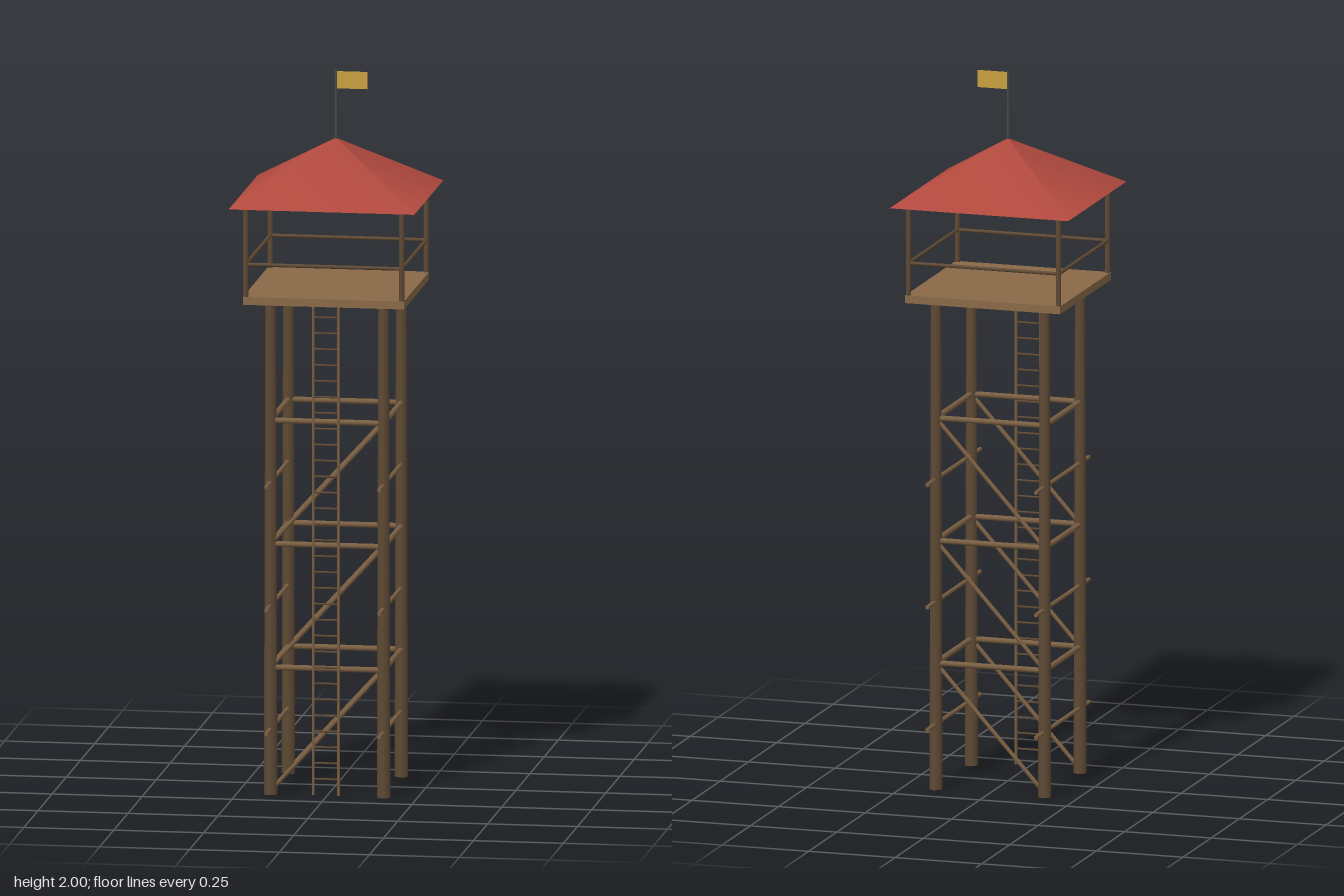
import * as THREE from 'three';

const mat = (name, color, extra = {}) => {
  const m = new THREE.MeshStandardMaterial({ color, ...extra });
  m.name = name;
  return m;
};

export function createModel() {
  const darkWood = mat('dark wood', 0x5f4a35);
  const wood = mat('wood', 0x7a5f42);
  const plank = mat('plank', 0x8a6a48);
  const red = mat('red roof', 0xb34a3f, { side: THREE.DoubleSide });
  const metal = mat('dark metal', 0x4a4a4a);
  const gold = mat('gold cloth', 0xc9a040, { side: THREE.DoubleSide });

  const tower = new THREE.Group();
  tower.name = 'watchtower';
  const up = new THREE.Vector3(0, 1, 0);

  const add = (name, geometry, material, x = 0, y = 0, z = 0) => {
    const mesh = new THREE.Mesh(geometry, material);
    mesh.name = name;
    mesh.position.set(x, y, z);
    tower.add(mesh);
    return mesh;
  };

  // Round bar between two points
  const bar = (name, from, to, r, material, rTop = r, sides = 8) => {
    const a = new THREE.Vector3(...from), b = new THREE.Vector3(...to);
    const dir = b.clone().sub(a);
    const mesh = add(name, new THREE.CylinderGeometry(rTop, r, dir.length(), sides), material);
    mesh.position.copy(a).add(b).multiplyScalar(0.5);
    mesh.quaternion.setFromUnitVectors(up, dir.normalize());
    return mesh;
  };

  const L = 0.157;   // leg offset
  const P = 0.217;   // cabin post offset
  const deck = 1.4;
  const bay = 0.345; // height of one braced bay

  // Legs and cabin posts at the four corners
  for (const sx of [-1, 1]) for (const sz of [-1, 1]) {
    bar('leg', [sx * L, 0, sz * L], [sx * L, 1.38, sz * L], 0.019, darkWood, 0.015);
    bar('cabinPost', [sx * P, deck, sz * P], [sx * P, 1.665, sz * P], 0.0075, darkWood);
  }

  // Three braced bays
  for (let i = 0; i < 3; i++) {
    const y0 = 0.01 + i * bay, y1 = y0 + bay, mid = (y0 + y1) / 2;
    for (const s of [-1, 1]) {
      bar('crossBeam', [-L, y1, s * L], [L, y1, s * L], 0.008, wood);
      bar('sideBeam', [s * L, y1, -L], [s * L, y1, L], 0.008, wood);
      bar('diagonalBrace', [-L, y0, s * L], [L, y1, s * L], 0.006, wood);
      bar('sideRod', [s * L, mid, -0.234], [s * L, mid, 0.234], 0.006, wood);
    }
  }

  // Ladder on the front
  const ladderZ = 0.178;
  for (const s of [-1, 1])
    bar('ladderRail', [s * 0.035, 0.005, ladderZ], [s * 0.035, 1.38, ladderZ], 0.004, wood, 0.004, 6);
  for (let i = 0; i < 30; i++) {
    const y = 0.05 + i * 0.0445;
    bar('ladderRung', [-0.035, y, ladderZ], [0.035, y, ladderZ], 0.003, darkWood, 0.003, 6);
  }

  // Deck and railing
  add('platform', new THREE.BoxGeometry(0.448, 0.022, 0.448), plank, 0, deck - 0.011, 0);
  for (const s of [-1, 1]) {
    bar('railing', [-P, 1.49, s * P], [P, 1.49, s * P], 0.005, darkWood);
    bar('railing', [s * P, 1.49, -P], [s * P, 1.49, P], 0.005, darkWood);
  }

  // Four-sided open roof
  const roof = new THREE.ConeGeometry(0.258 * Math.SQRT2, 0.16, 4, 1, true);
  roof.rotateY(Math.PI / 4);
  add('roof', roof, red, 0, 1.73, 0);

  // Flagpole and flag
  bar('flagpole', [0, 1.79, 0], [0, 2, 0], 0.0035, metal);
  add('flag', new THREE.BoxGeometry(0.086, 0.048, 0.002), gold, 0.045, 1.972, 0);

  return tower;
}
